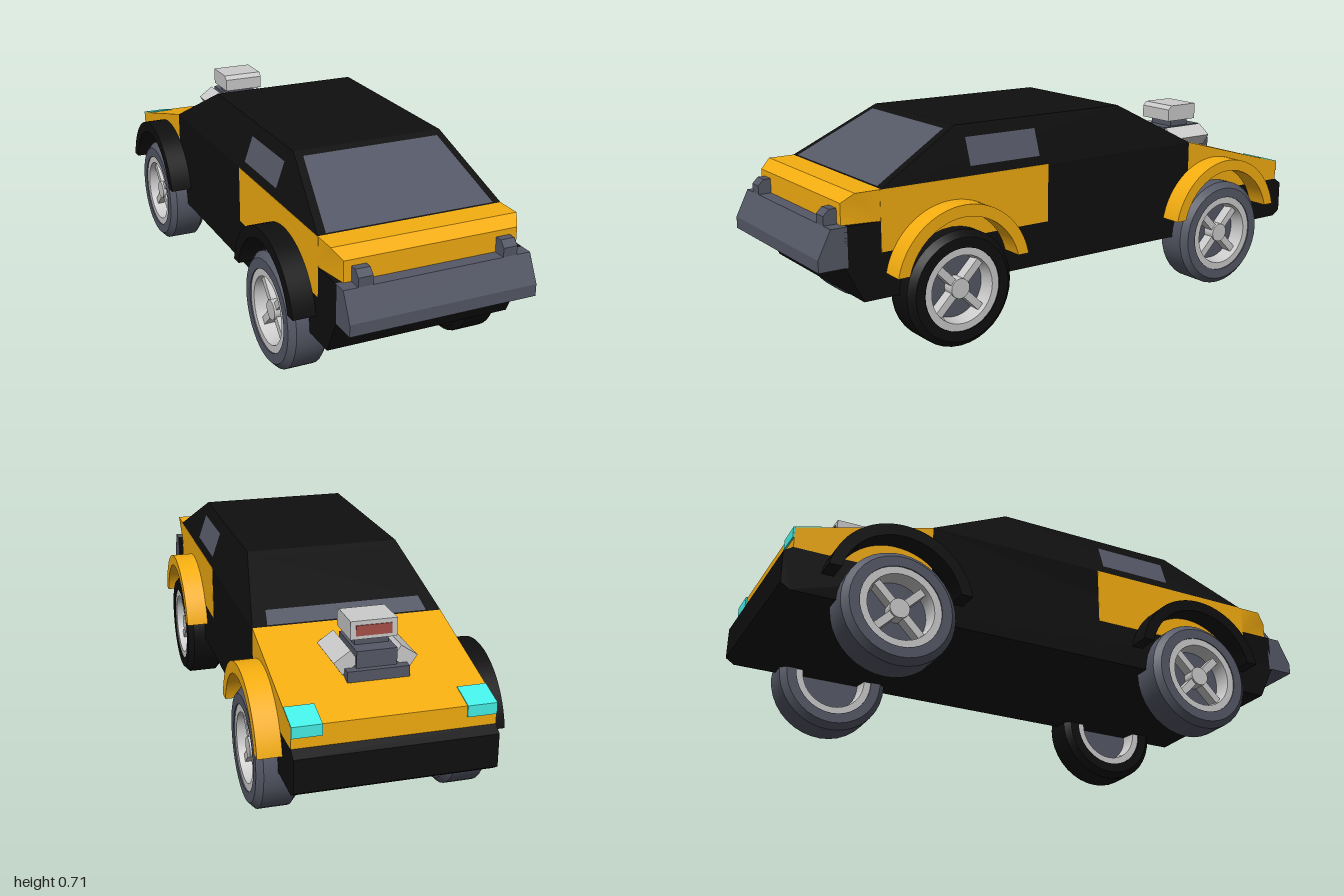
import * as THREE from 'three';
import { toCreasedNormals } from 'three/addons/utils/BufferGeometryUtils.js';

const mat = (color) => new THREE.MeshStandardMaterial({ color, side: THREE.DoubleSide });

export function createModel() {
  const car = new THREE.Group();
  car.name = 'car';
  const black = mat(0x0f0f0f), slate = mat(0x555866), yellow = mat(0xf5ae10);
  const silver = mat(0xc0c0c0), cyan = mat(0x45f2e8), red = mat(0xa85048);

  const add = (name, geometry, material, parent = car) => {
    const mesh = new THREE.Mesh(geometry, material);
    mesh.name = name;
    parent.add(mesh);
    return mesh;
  };
  // Extrude a shape drawn in (z, y) across x0..x1
  const across = (shape, x0, x1) => {
    const g = new THREE.ExtrudeGeometry(shape, { depth: x1 - x0, bevelEnabled: false, curveSegments: 28 });
    return toCreasedNormals(g.rotateY(-Math.PI / 2).translate(x1, 0, 0), 0.45);
  };
  const profile = (points) => new THREE.Shape(points.map(([z, y]) => new THREE.Vector2(z, y)));
  const box = (x0, x1, y0, y1, z0, z1) =>
    new THREE.BoxGeometry(x1 - x0, y1 - y0, z1 - z0).translate((x0 + x1) / 2, (y0 + y1) / 2, (z0 + z1) / 2);
  const reshape = (g, rule) => {
    const p = g.attributes.position;
    for (let i = 0; i < p.count; i++) p.setX(i, rule(p.getX(i), p.getY(i), p.getZ(i)));
    return toCreasedNormals(g, 0.45);
  };
  // Flat four-cornered pane
  const pane = (a, b, c, d) => {
    const g = new THREE.BufferGeometry();
    g.setAttribute('position', new THREE.Float32BufferAttribute([a, b, c, a, c, d].flat(), 3));
    g.computeVertexNormals();
    return g;
  };

  // Body
  add('lowerBody', across(profile([[0.91, 0.45], [0.91, 0.32], [0.85, 0.2], [-0.97, 0.2], [-1, 0.22], [-1, 0.33],
    [-0.97, 0.35], [-0.5, 0.35], [-0.5, 0.55], [0.78, 0.55], [0.78, 0.45]]), -0.32, 0.32), black);
  add('hood', across(profile([[-0.5, 0.35], [-0.5, 0.55], [-0.97, 0.42], [-0.97, 0.35]]), -0.32, 0.32), yellow);
  const cabin = across(profile([[0.78, 0.55], [0.48, 0.71], [-0.2, 0.71], [-0.5, 0.55]]), -0.32, 0.32);
  add('cabin', reshape(cabin, (x, y) => x * (1 - (y - 0.55) * 1.075)), black);
  const tail = across(profile([[0.78, 0.45], [0.91, 0.45], [0.91, 0.52], [0.87, 0.55], [0.78, 0.55]]), -0.32, 0.32);
  add('rearDeck', reshape(tail, (x, y, z) => (z > 0.9 ? x * 0.93 : x)), yellow);

  // Rear bumper with its two brackets
  add('rearBumper', across(profile([[0.9, 0.32], [1, 0.32], [1, 0.36], [0.955, 0.45], [0.9, 0.45]]), -0.32, 0.32), slate);
  const bracket = profile([[0.9, 0.45], [0.955, 0.45], [0.955, 0.48], [0.935, 0.5], [0.9, 0.5]]);

  // Sloping glass, lifted slightly off the cabin
  const slope = (z0, z1, w0, w1) => {
    const y = (z) => 0.553 + 0.16 * (z > 0 ? (0.78 - z) / 0.3 : (z + 0.5) / 0.3);
    return pane([-w0, y(z0), z0], [w0, y(z0), z0], [w1, y(z1), z1], [-w1, y(z1), z1]);
  };
  add('rearWindow', slope(0.778, 0.505, 0.292, 0.242), slate);
  add('windshieldCowl', slope(-0.498, -0.44, 0.27, 0.262), slate);
  add('windshield', slope(-0.44, -0.23, 0.262, 0.235), black);

  for (const s of [-1, 1]) {
    const mirrored = (a, b) => (s > 0 ? [a, b] : [-b, -a]);
    add('bumperBracket', across(bracket, ...mirrored(0.223, 0.272)), slate);
    add('headlight', across(profile([[-0.885, 0.447], [-0.975, 0.422], [-0.975, 0.385], [-0.96, 0.385], [-0.885, 0.43]]),
      ...mirrored(0.225, 0.3195)), cyan);
    add('rearSidePanel', box(...mirrored(0.31, 0.321), 0.35, 0.55, 0.145, 0.785), yellow);
    const wx = (y) => s * (0.323 - (y - 0.55) * 0.344);
    add('sideWindow', pane([wx(0.58), 0.58, 0.175], [wx(0.58), 0.58, 0.45], [wx(0.67), 0.67, 0.45],
      [wx(0.67), 0.67, 0.175]), slate);

    for (const z of [0.53, -0.625]) {
      // Arched fender
      const arch = new THREE.Shape();
      arch.absarc(z - 0.004, 0.23, 0.25, 0.2, Math.PI - 0.2, false);
      arch.absarc(z - 0.004, 0.23, 0.21, Math.PI - 0.24, 0.24, true);
      add('fender', across(arch, ...mirrored(0.31, 0.398)), s > 0 ? yellow : black);

      // Wheel, built along y then turned so that +y points outward
      const wheel = new THREE.Group();
      wheel.name = 'wheel';
      wheel.position.set(s * 0.315, 0.196, z);
      wheel.rotation.z = -s * Math.PI / 2;
      car.add(wheel);
      const lathe = (pts) => toCreasedNormals(
        new THREE.LatheGeometry(pts.map(([r, y]) => new THREE.Vector2(r, y)), 36), 0.4);
      add('tire', lathe([[0.14, -0.07], [0.175, -0.07], [0.196, -0.05], [0.196, 0.05], [0.175, 0.07], [0.14, 0.07],
        [0.14, -0.07]]), s > 0 && z > 0 ? black : slate, wheel);
      add('rim', lathe([[0.115, -0.065], [0.142, -0.065], [0.142, 0.066], [0.115, 0.066], [0.108, 0.02],
        [0.108, -0.02], [0.115, -0.065]]), silver, wheel);
      add('rimDisc', new THREE.CylinderGeometry(0.112, 0.112, 0.02, 36), slate, wheel);
      add('hub', new THREE.CylinderGeometry(0.034, 0.034, 0.05, 20).translate(0, 0.03, 0), silver, wheel);
      for (let i = 0; i < 4; i++) {
        const spoke = add('spoke', box(0.02, 0.118, 0.01, 0.048, -0.013, 0.013), silver, wheel);
        spoke.rotation.y = Math.PI / 4 + i * Math.PI / 2;
      }
    }
  }

  // Engine rising through the hood
  const engine = new THREE.Group();
  engine.name = 'engine';
  car.add(engine);
  add('engineBase', box(-0.1, 0.1, 0.45, 0.5, -0.81, -0.59), slate, engine);
  add('engineBlock', box(-0.065, 0.065, 0.48, 0.555, -0.79, -0.61), slate, engine);
  add('scoopNeck', box(-0.055, 0.055, 0.55, 0.585, -0.735, -0.65), slate, engine);
  for (const s of [-1, 1]) {
    const cover = add('cylinderCover', new THREE.BoxGeometry(0.065, 0.05, 0.18), silver, engine);
    cover.position.set(s * 0.094, 0.518, -0.69);
    cover.rotation.z = -s * 0.6;
  }
  const scoop = profile([[-0.62, 0.58], [-0.62, 0.625], [-0.635, 0.64], [-0.757, 0.64], [-0.757, 0.58]]);
  add('scoop', across(scoop, -0.075, 0.075), silver, engine);
  add('scoopIntake', box(-0.058, 0.058, 0.592, 0.626, -0.76, -0.75), red, engine);
  return car;
}
